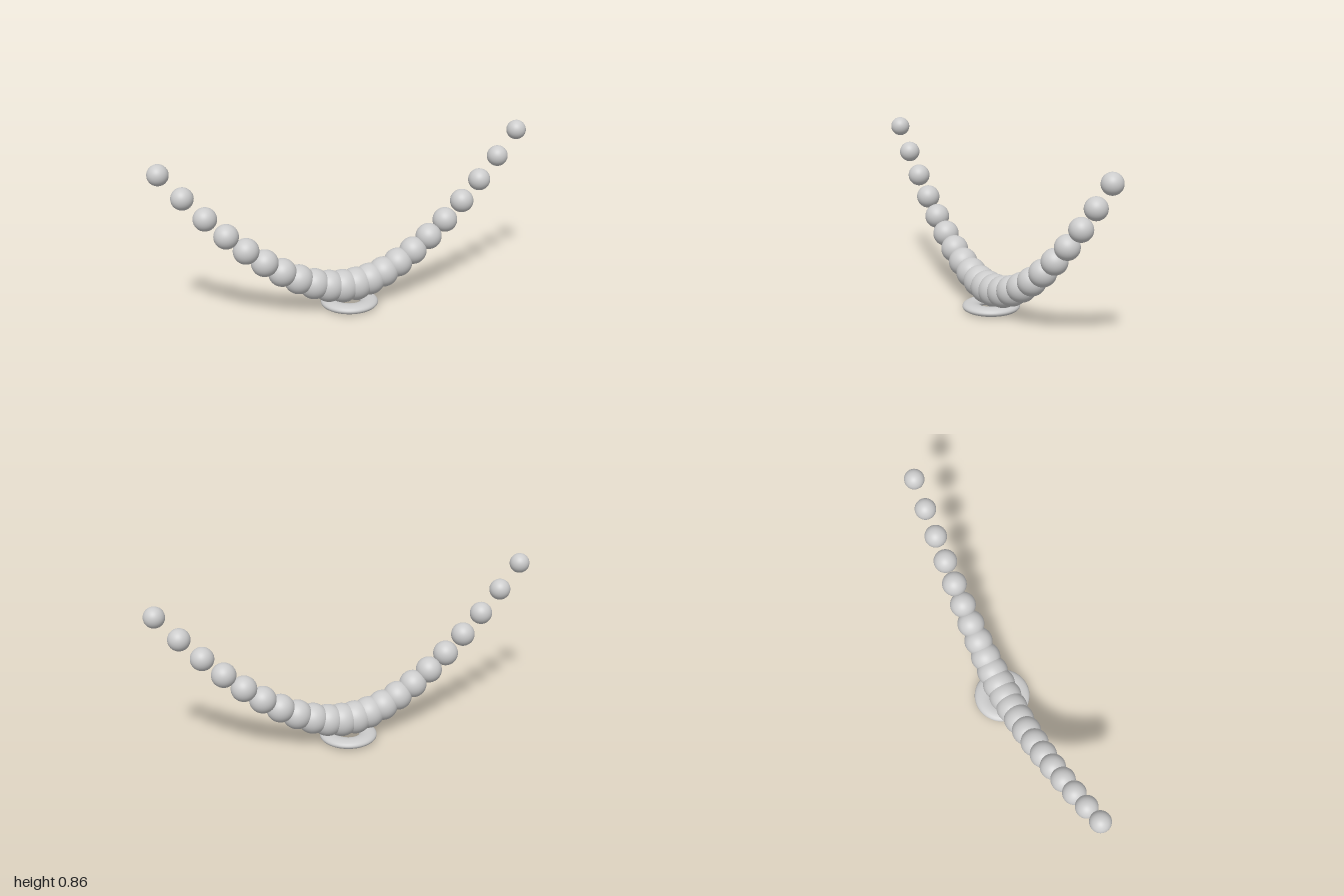
import * as THREE from 'three';

export function createModel() {
  const model = new THREE.Group();
  const material = new THREE.MeshStandardMaterial({ color: 0xcccccc });

  // Flattened ring foot
  const ring = new THREE.Mesh(new THREE.TorusGeometry(0.1, 0.045, 24, 64), material);
  ring.name = 'baseRing';
  ring.rotation.x = Math.PI / 2;
  ring.scale.z = 0.5;
  ring.position.y = 0.0225;
  model.add(ring);

  // Two mirrored arms of beads, shrinking and spreading towards the tips
  const sphere = new THREE.SphereGeometry(1, 40, 28);
  for (const side of [1, -1]) {
    const arm = new THREE.Group();
    arm.name = side > 0 ? 'leftArm' : 'rightArm';
    for (let i = 0; i <= 10; i++) {
      const t = i + 0.5;
      const bead = new THREE.Mesh(sphere, material);
      bead.name = 'bead';
      bead.position.set(side * (0.072 * t + 0.00175 * t * t), 0.11 + 0.00635 * t * t, 0);
      bead.scale.setScalar(0.084 - 0.0034 * i);
      arm.add(bead);
    }
    model.add(arm);
  }
  return model;
}
